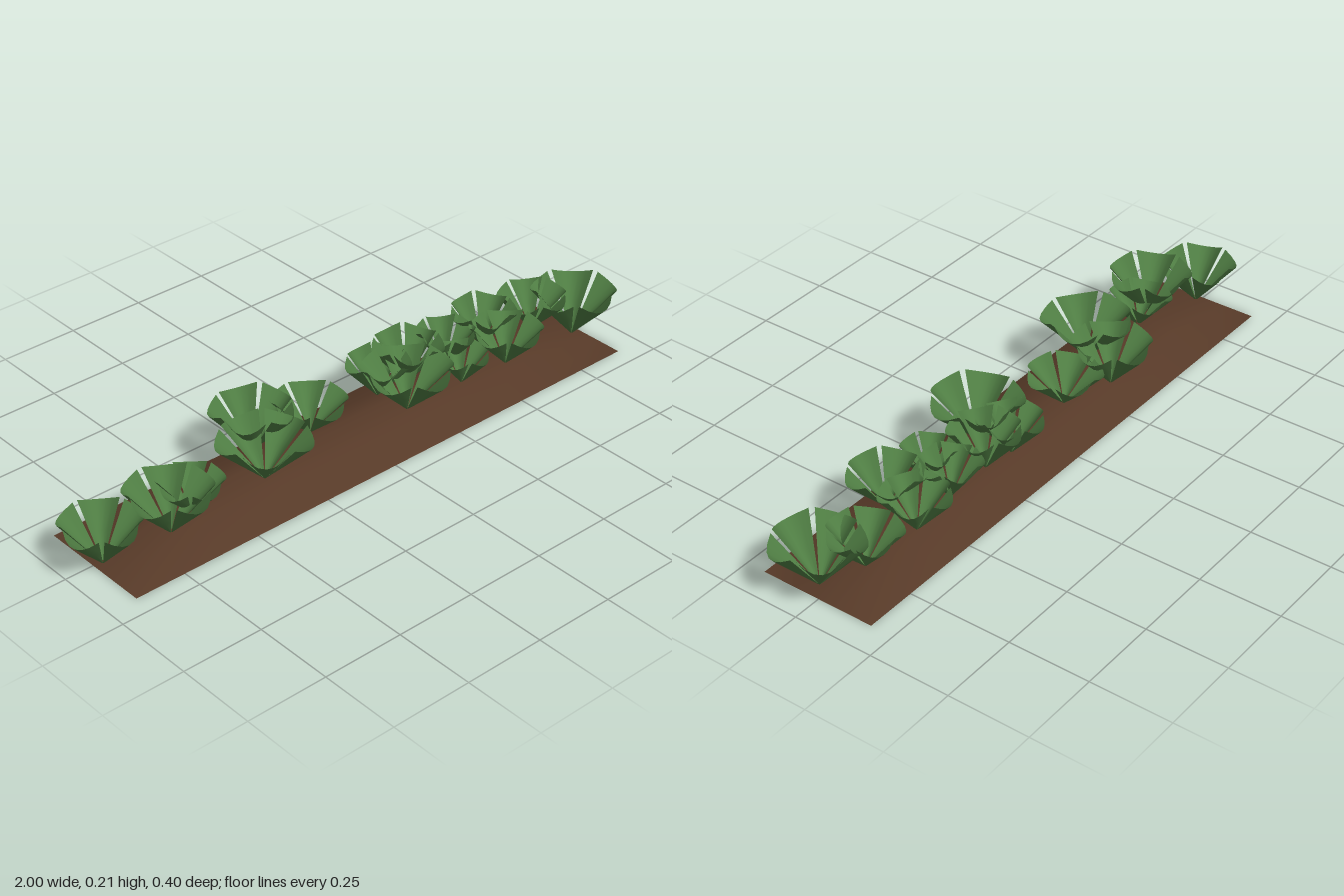
import * as THREE from 'three';

const leafGreen = new THREE.MeshStandardMaterial({ color: 0x4f7d43, side: THREE.DoubleSide });
leafGreen.name = 'leafGreen';
const soilBrown = new THREE.MeshStandardMaterial({ color: 0x573a28, side: THREE.DoubleSide });
soilBrown.name = 'soilBrown';

// Grid surface from a point function, rows x cols cells
function gridSurface(rows, cols, point) {
  const pos = [], idx = [];
  for (let i = 0; i <= rows; i++) {
    for (let j = 0; j <= cols; j++) {
      pos.push(...point(i, j));
      if (i < rows && j < cols) {
        const a = i * (cols + 1) + j, b = a + cols + 1;
        idx.push(a, a + 1, b, b, a + 1, b + 1);
      }
    }
  }
  const g = new THREE.BufferGeometry();
  g.setAttribute('position', new THREE.Float32BufferAttribute(pos, 3));
  g.setIndex(idx);
  g.computeVertexNormals();
  return g;
}

// Trough-shaped leaf fanning out from the root along +x, for unit radius and height
function leafGeometry() {
  return gridSurface(2, 6, (i, j) => {
    const t = 0.03 + 0.97 * i / 2, s = 1 - j / 3;
    return [t * (1 - 0.25 * s * s), t * (0.85 + 0.15 * s * s), t * 0.47 * s];
  });
}

// Low open mound of earth
function moundGeometry() {
  const xs = [-0.91, -0.62, -0.3, 0, 0.3, 0.62, 0.91];
  const rise = [0, 1, 1, 1, 1, 1, 0];
  const zs = [-0.178, -0.075, 0, 0.085, 0.188];
  const ys = [0, 0.05, 0.066, 0.05, 0];
  return gridSurface(xs.length - 1, zs.length - 1,
    (i, j) => [xs[i], 0.005 + rise[i] * ys[j], zs[j]]);
}

// Plants: x, z, root height, top height, radius, turn in degrees (from +x towards +z)
const plants = [
  [-0.885, 0.01, 0.005, 0.152, 0.12, 160],
  [-0.695, 0.06, 0.04, 0.195, 0.13, 85],
  [-0.605, 0.035, 0.05, 0.165, 0.1, 20],
  [-0.365, 0.055, 0.06, 0.21, 0.14, 55],
  [-0.295, -0.08, 0.055, 0.21, 0.125, -75],
  [-0.125, -0.035, 0.06, 0.177, 0.115, 90],
  [0.16, 0.06, 0.06, 0.213, 0.14, 88],
  [0.15, -0.055, 0.055, 0.185, 0.1, 50],
  [0.255, -0.045, 0.06, 0.208, 0.11, -20],
  [0.38, 0.055, 0.055, 0.165, 0.085, 80],
  [0.41, -0.045, 0.055, 0.185, 0.095, -60],
  [0.55, 0.065, 0.055, 0.187, 0.115, 95],
  [0.575, -0.06, 0.05, 0.187, 0.105, -100],
  [0.765, -0.04, 0.04, 0.17, 0.11, -60],
  [0.87, 0.03, 0.012, 0.177, 0.135, 25],
];

export function createModel() {
  const model = new THREE.Group();
  model.name = 'plantedBed';

  const mound = new THREE.Mesh(moundGeometry(), soilBrown);
  mound.name = 'soilMound';
  model.add(mound);

  const leaf = leafGeometry();
  for (const [x, z, root, top, radius, turn] of plants) {
    const plant = new THREE.Group();
    plant.name = 'plant';
    plant.position.set(x, root, z);
    for (let k = 0; k < 5; k++) {
      const blade = new THREE.Mesh(leaf, leafGreen);
      blade.name = 'leaf';
      blade.scale.set(radius, top - root, radius);
      blade.rotation.y = -THREE.MathUtils.degToRad(turn + 72 * k);
      plant.add(blade);
    }
    model.add(plant);
  }
  return model;
}
